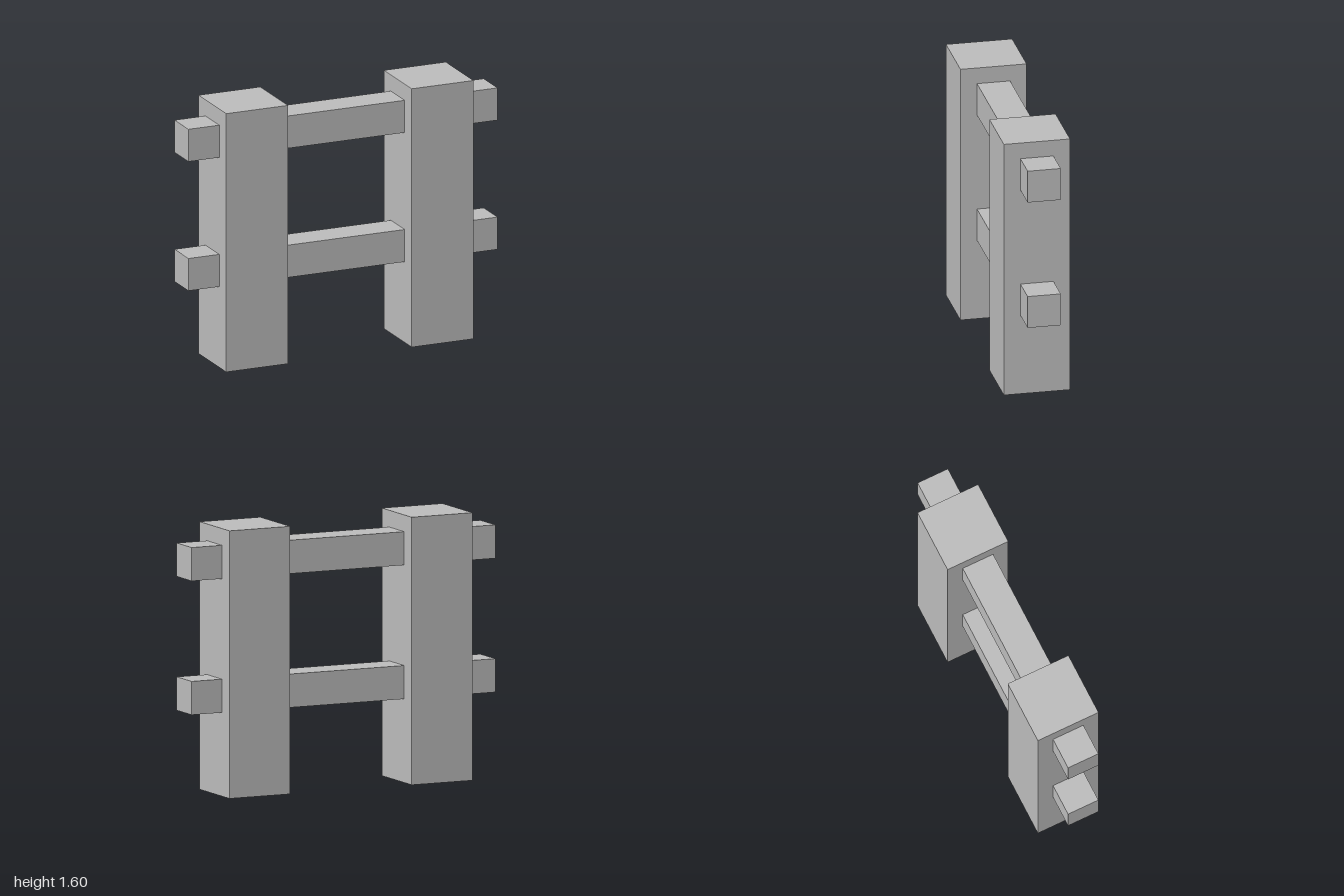
import * as THREE from 'three';

export function createModel() {
  const fence = new THREE.Group();
  fence.name = 'fence';
  const grey = new THREE.MeshStandardMaterial({ color: 0xbfbfbf });
  grey.name = 'light grey';

  const addBox = (name, size, position) => {
    const mesh = new THREE.Mesh(new THREE.BoxGeometry(...size), grey);
    mesh.name = name;
    mesh.position.set(...position);
    fence.add(mesh);
  };

  // Two square upright posts
  for (const side of [1, -1]) {
    addBox(side > 0 ? 'leftPost' : 'rightPost', [0.4, 1.6, 0.4], [side * 0.6, 0.8, 0]);
  }

  // Two rails passing through the posts
  addBox('lowerRail', [2, 0.2, 0.2], [0, 0.6, 0]);
  addBox('upperRail', [2, 0.2, 0.2], [0, 1.4, 0]);

  return fence;
}
